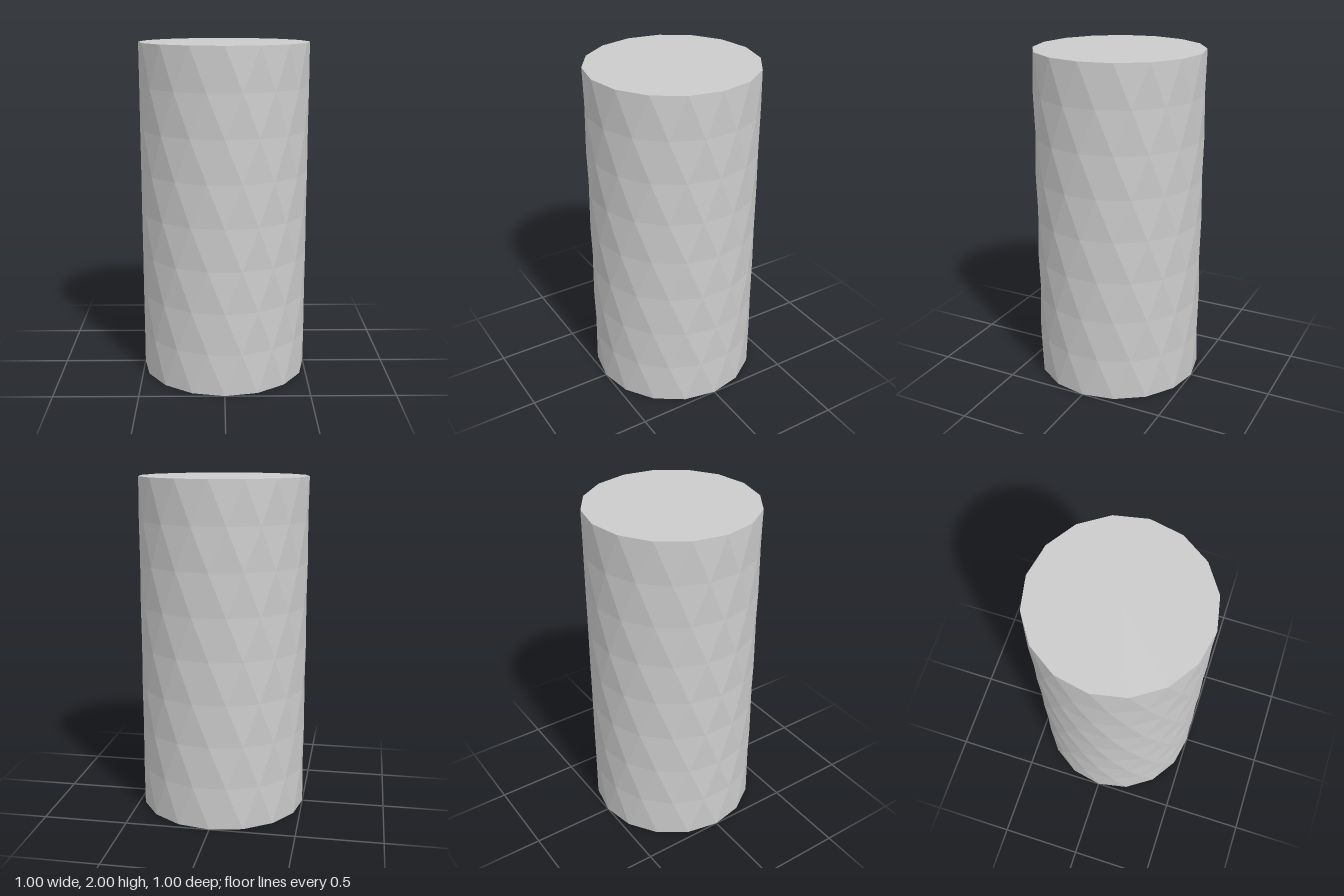
import * as THREE from 'three';

const SIDES = 16, ROWS = 8, RADIUS = 0.5, HEIGHT = 2;

// Point i of ring r; every other ring is turned by half a side
function ringPoint(i, r) {
  const a = ((i + (r % 2) / 2) / SIDES) * Math.PI * 2;
  return [RADIUS * Math.sin(a), (HEIGHT * r) / ROWS, RADIUS * Math.cos(a)];
}

// Faceted wall: bands of alternating up and down triangles
function wallGeometry() {
  const positions = [];
  const tri = (...points) => points.forEach((p) => positions.push(...p));
  for (let r = 0; r < ROWS; r++) {
    for (let i = 0; i < SIDES; i++) {
      const a = ringPoint(i, r), b = ringPoint(i + 1, r);
      const c = ringPoint(i, r + 1), d = ringPoint(i + 1, r + 1);
      if (r % 2 === 0) {
        tri(a, b, c);
        tri(c, b, d);
      } else {
        tri(a, b, d);
        tri(a, d, c);
      }
    }
  }
  const geometry = new THREE.BufferGeometry();
  geometry.setAttribute('position', new THREE.Float32BufferAttribute(positions, 3));
  geometry.computeVertexNormals();
  return geometry;
}

export function createModel() {
  const group = new THREE.Group();
  group.name = 'facetedCylinder';
  const material = new THREE.MeshStandardMaterial({ color: 0xcccccc, flatShading: true });

  const wall = new THREE.Mesh(wallGeometry(), material);
  wall.name = 'diamondWall';
  group.add(wall);

  // Flat end caps
  for (const [name, y, turn] of [['topCap', HEIGHT, -1], ['bottomCap', 0, 1]]) {
    const cap = new THREE.Mesh(new THREE.CircleGeometry(RADIUS, SIDES), material);
    cap.name = name;
    cap.rotation.x = (turn * Math.PI) / 2;
    cap.position.y = y;
    group.add(cap);
  }
  return group;
}
